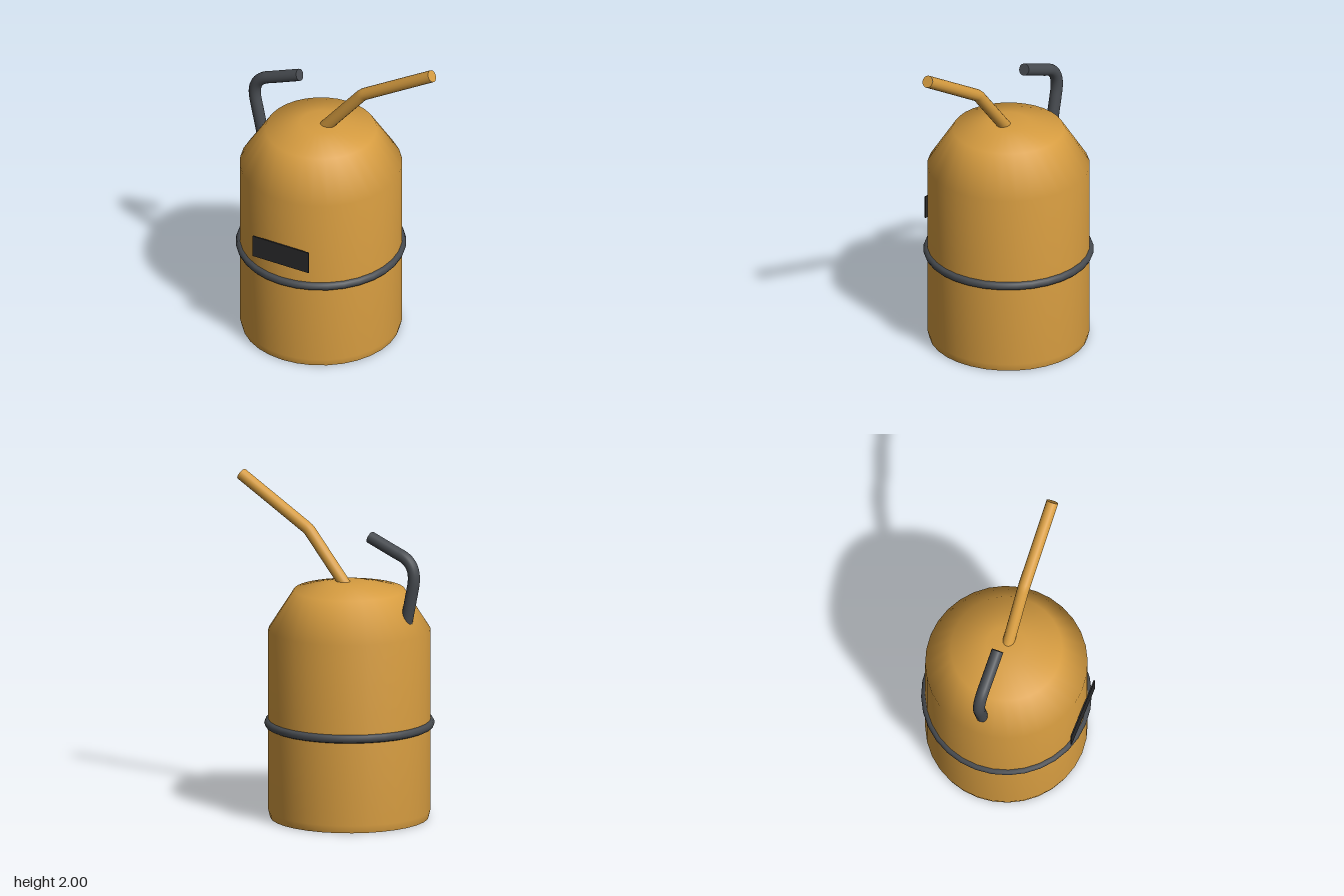
import * as THREE from 'three';

const mat = (name, color) => {
  const m = new THREE.MeshStandardMaterial({ color });
  m.name = name;
  return m;
};
const v = (x, y) => new THREE.Vector3(x, y, 0);

export function createModel() {
  const ochre = mat('ochre', 0xd69c40);
  const grey = mat('dark grey', 0x474b50);
  const black = mat('label black', 0x2a2a2b);

  const group = new THREE.Group();
  const cx = -0.135; // axis of the canister

  const add = (name, geometry, material, x = 0, y = 0, z = 0, parent = group) => {
    const mesh = new THREE.Mesh(geometry, material);
    mesh.name = name;
    mesh.position.set(x, y, z);
    parent.add(mesh);
    return mesh;
  };

  // Round tube along a curve, closed at both ends
  const pipe = (name, curve, radius, material, steps) => {
    const part = new THREE.Group();
    part.name = name;
    group.add(part);
    add(name + 'Tube', new THREE.TubeGeometry(curve, steps, radius, 16, false), material, 0, 0, 0, part);
    for (const t of [0, 1]) {
      const p = curve.getPointAt(t);
      const dir = curve.getTangentAt(t).multiplyScalar(t ? 1 : -1);
      const cap = add(name + 'Cap', new THREE.CircleGeometry(radius, 16), material, p.x, p.y, p.z, part);
      cap.quaternion.setFromUnitVectors(new THREE.Vector3(0, 0, 1), dir);
    }
  };

  // Straight run, rounded corner, straight run
  const bend = (start, inPoint, corner, outPoint, end) => {
    const path = new THREE.CurvePath();
    path.add(new THREE.LineCurve3(start, inPoint));
    path.add(new THREE.QuadraticBezierCurve3(inPoint, corner, outPoint));
    path.add(new THREE.LineCurve3(outPoint, end));
    return path;
  };

  // Canister body with sloped shoulder and shallow top
  const profile = [
    [0.465, 0], [0.476, 0.045], [0.476, 1.125], [0.326, 1.36], [0.12, 1.405], [0, 1.405],
  ].map(([r, y]) => new THREE.Vector2(r, y));
  add('body', new THREE.LatheGeometry(profile, 32), ochre, cx);
  add('base', new THREE.CircleGeometry(0.465, 32).rotateX(Math.PI / 2), ochre, cx);

  // Rubber band around the middle
  add('band', new THREE.TorusGeometry(0.474, 0.026, 8, 32).rotateX(Math.PI / 2), grey, cx, 0.565);

  // Flat label on the front
  add('label', new THREE.BoxGeometry(0.375, 0.14, 0.008), black, cx - 0.002, 0.752, 0.48);

  // Spout with a sharp kink
  pipe('spout', bend(v(-0.135, 1.35), v(0.132, 1.674), v(0.145, 1.69), v(0.162, 1.7), v(0.609, 1.969)),
    0.036, ochre, 64);

  // Curved handle rising from the shoulder
  pipe('handle', bend(v(-0.52, 1.17), v(-0.572, 1.42), v(-0.605, 1.57), v(-0.475, 1.61), v(-0.278, 1.69)),
    0.036, grey, 48);

  return group;
}
